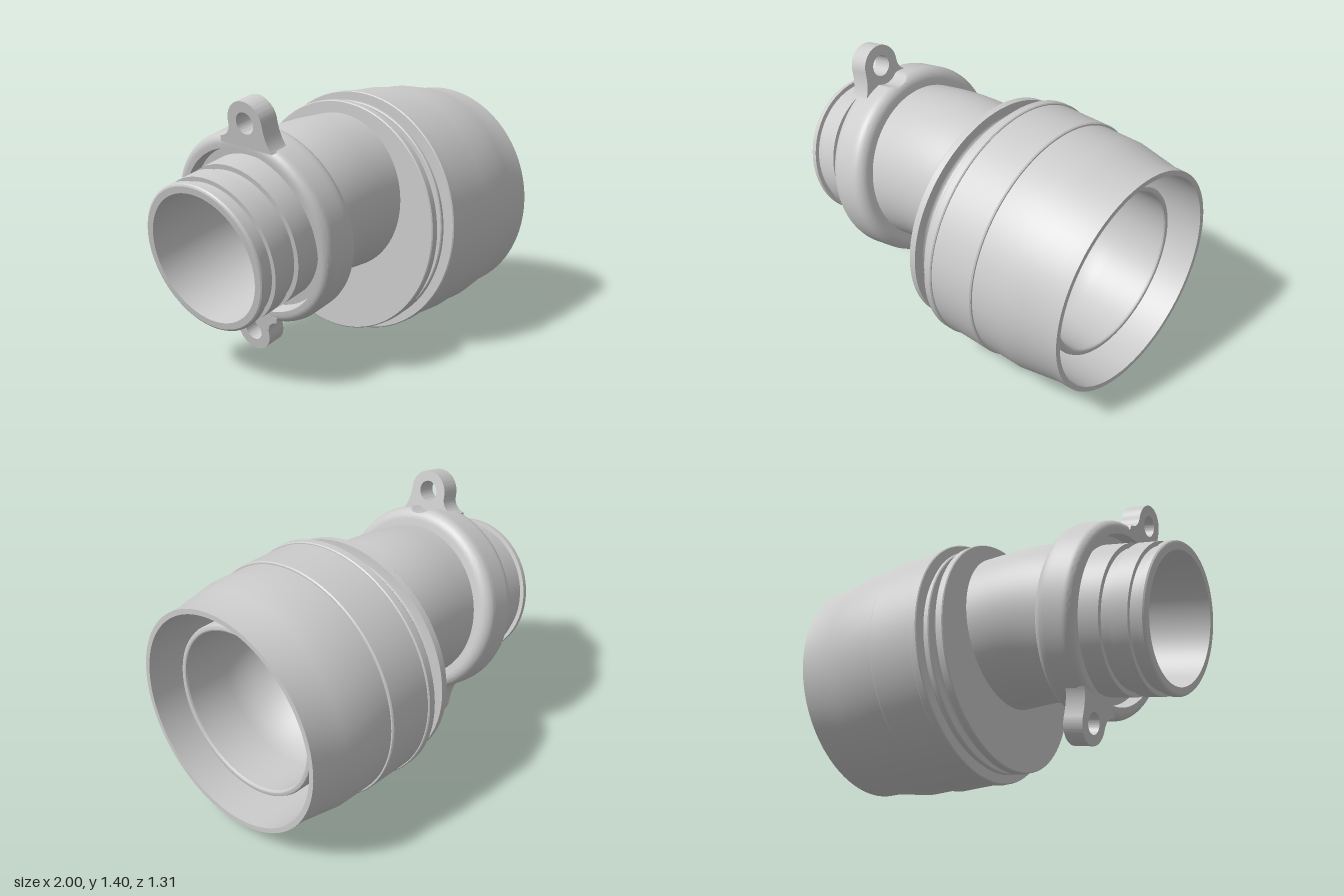
import * as THREE from 'three';
import { toCreasedNormals } from 'three/addons/utils/BufferGeometryUtils.js';

const TILT = 0.218;                                // slope of the spigot end
const FACE = new THREE.Vector2(-0.915, 0.635);     // centre of the spigot face
const BODY_Y = 0.66, PIPE_Y = 0.8, BORE = 0.338, PIPE = 0.415;
const SIDES = 128;

const material = new THREE.MeshStandardMaterial({ color: 0xcccccc });

function part(name, geometry, crease = 0.45) {
  const mesh = new THREE.Mesh(toCreasedNormals(geometry, crease), material);
  mesh.name = name;
  return mesh;
}

// Turned part about the x axis; profile points are [x, radius]
function turned(profile, sides = SIDES) {
  const pts = profile.map(([x, r]) => new THREE.Vector2(r, x));
  return new THREE.LatheGeometry(pts, sides).rotateZ(-Math.PI / 2);
}

// Rounded profile points from angle a0 to a1
function arc(cx, cr, rad, a0, a1, n = 8) {
  return Array.from({ length: n + 1 }, (_, i) => {
    const a = a0 + (a1 - a0) * i / n;
    return [cx + rad * Math.cos(a), cr + rad * Math.sin(a)];
  });
}

// Skin through circular stations { x, y, r, tilt }, facing out or in
function loft(stations, inward = false) {
  const pos = [], index = [], row = SIDES + 1;
  stations.forEach(({ x, y, r, tilt }, i) => {
    for (let j = 0; j <= SIDES; j++) {
      const a = j / SIDES * Math.PI * 2, up = r * Math.cos(a);
      pos.push(x - up * Math.sin(tilt), y + up * Math.cos(tilt), r * Math.sin(a));
      if (i && j) {
        const d = i * row + j, c = d - 1, b = d - row, e = b - 1;
        if (inward) index.push(e, c, b, b, c, d);
        else index.push(e, b, c, b, d, c);
      }
    }
  });
  const g = new THREE.BufferGeometry();
  g.setAttribute('position', new THREE.Float32BufferAttribute(pos, 3));
  g.setIndex(index);
  return g;
}

// Centre line from a distance u on the tilted axis, round the bend, to x = 0.08
function bendStations(u0, r) {
  const along = u => new THREE.Vector2(FACE.x + u * Math.cos(TILT), FACE.y + u * Math.sin(TILT));
  const uc = (PIPE_Y - FACE.y) / Math.sin(TILT), corner = along(uc), reach = 0.12;
  const bend = new THREE.QuadraticBezierCurve(along(uc - reach), corner,
    new THREE.Vector2(corner.x + reach, PIPE_Y));
  const start = along(u0);
  const list = [{ x: start.x, y: start.y, r, tilt: TILT }];
  for (let i = 0; i <= 14; i++) {
    const p = bend.getPoint(i / 14), t = bend.getTangent(i / 14);
    list.push({ x: p.x, y: p.y, r, tilt: Math.atan2(t.y, t.x) });
  }
  list.push({ x: 0.08, y: PIPE_Y, r, tilt: 0 });
  return list;
}

function makeBore() {
  const stations = bendStations(0, BORE);
  // Eases from the offset pipe to the wider central tube
  for (let i = 1; i <= 20; i++) {
    const t = i / 20, s = THREE.MathUtils.smoothstep(t, 0, 1);
    stations.push({ x: 0.08 + 0.54 * t, y: THREE.MathUtils.lerp(PIPE_Y, BODY_Y, s),
      r: THREE.MathUtils.lerp(BORE, 0.425, s), tilt: 0 });
  }
  stations.push({ x: 0.87, y: BODY_Y, r: 0.425, tilt: 0 });
  return part('bore', loft(stations, true));
}

function makeBody() {
  const body = new THREE.Group();
  body.name = 'body';
  body.position.y = BODY_Y;
  // Grooved flanges, tapered skirt, inside wall and rounded floor
  body.add(part('shell', turned([
    [0.08, 0.615], [0.085, 0.62], [0.12, 0.62], [0.12, 0.57],
    ...arc(0.145, 0.57, 0.025, Math.PI, Math.PI * 2, 10),
    [0.17, 0.605], [0.175, 0.61], [0.19, 0.61], [0.195, 0.605], [0.195, 0.59],
    [0.215, 0.59], [0.215, 0.65], [0.22, 0.655], [0.255, 0.655], [0.26, 0.65],
    [0.26, 0.645], [0.508, 0.645], [0.515, 0.64], [0.515, 0.632],
    [0.70, 0.632], [0.81, 0.613], [0.92, 0.594], [1, 0.592],
    [1, 0.565], [0.32, 0.562], [0.32, 0.53], [0.3, 0.53],
    ...arc(0.335, 0.495, 0.035, Math.PI, Math.PI * 1.5),
  ])));
  body.add(part('innerTube', turned([
    [0.3, 0.46], [0.865, 0.46], [0.877, 0.455], [0.88, 0.447],
    [0.88, 0.436], [0.877, 0.43], [0.865, 0.425],
  ])));
  // Flat back plate, opened off-centre for the pipe
  const plate = new THREE.Shape().absarc(0, 0, 0.615, 0, Math.PI * 2);
  plate.holes.push(new THREE.Path().absarc(0, PIPE_Y - BODY_Y, 0.39, 0, Math.PI * 2, true));
  const g = new THREE.ShapeGeometry(plate, 64).rotateY(-Math.PI / 2).translate(0.08, 0, 0);
  body.add(part('backPlate', g));
  return body;
}

// Rounded collar with a scoop behind each lug for the fastener
function makeCollar() {
  const flat = Array.from({ length: 9 }, (_, i) => [0.385 + 0.1 * (i + 0.5) / 9, 0.51]);
  const g = turned([
    [0.39, 0.38], [0.39, 0.43], [0.327, 0.44],
    ...arc(0.375, 0.462, 0.048, Math.PI, Math.PI / 2), ...flat,
    ...arc(0.49, 0.45, 0.06, Math.PI / 2, 0, 10), [0.55, 0.41],
  ], 256);
  const p = g.attributes.position;
  for (let i = 0; i < p.count; i++) {
    const side = Math.sign(p.getY(i)), dz = p.getZ(i) - side * 0.095;
    if (p.getX(i) < 0.42 || Math.abs(dz) > 0.095) continue;
    const floor = 0.575 - Math.sqrt(0.1 ** 2 - dz * dz);
    if (Math.abs(p.getY(i)) > floor) p.setY(i, side * floor);
  }
  return part('collar', g, 0.6);
}

// Flared ear with a round hole
function makeLugGeometry() {
  const c = -0.105, h = 0.58, r = 0.11;
  const s = new THREE.Shape();
  s.moveTo(0.08, 0.47);
  s.lineTo(0.075, 0.5);
  s.quadraticCurveTo(0.005, 0.51, c + r, h);
  s.absarc(c, h, r, 0, Math.PI);
  s.quadraticCurveTo(c - r, 0.49, -0.25, 0.44);
  s.closePath();
  s.holes.push(new THREE.Path().absarc(c, h, 0.055, 0, Math.PI * 2, true));
  return new THREE.ExtrudeGeometry(s, { depth: 0.107, bevelEnabled: false, curveSegments: 32 })
    .rotateY(Math.PI / 2).translate(0.326, 0, 0);
}

function makeSpigotEnd() {
  const end = new THREE.Group();
  end.name = 'spigotEnd';
  end.position.set(FACE.x, FACE.y, 0);
  end.rotation.z = TILT;
  end.add(part('spigot', turned([
    [0, BORE], [0, 0.372], [0.004, 0.38], [0.012, 0.385], [0.037, 0.385],
    [0.037, 0.362], [0.09, 0.362], [0.09, 0.385], [0.19, 0.385],
    [0.19, 0.362], [0.246, 0.362], [0.246, 0.388], [0.42, 0.388],
  ])));
  end.add(makeCollar());
  ['upperLug', 'lowerLug'].forEach((name, i) => {
    const lug = part(name, makeLugGeometry());
    lug.rotation.x = i * Math.PI;
    end.add(lug);
  });
  return end;
}

export function createModel() {
  const model = new THREE.Group();
  model.name = 'pipeElbowCoupling';
  model.add(makeBody(), part('bentPipe', loft(bendStations(0.5, PIPE))), makeBore(), makeSpigotEnd());
  return model;
}
